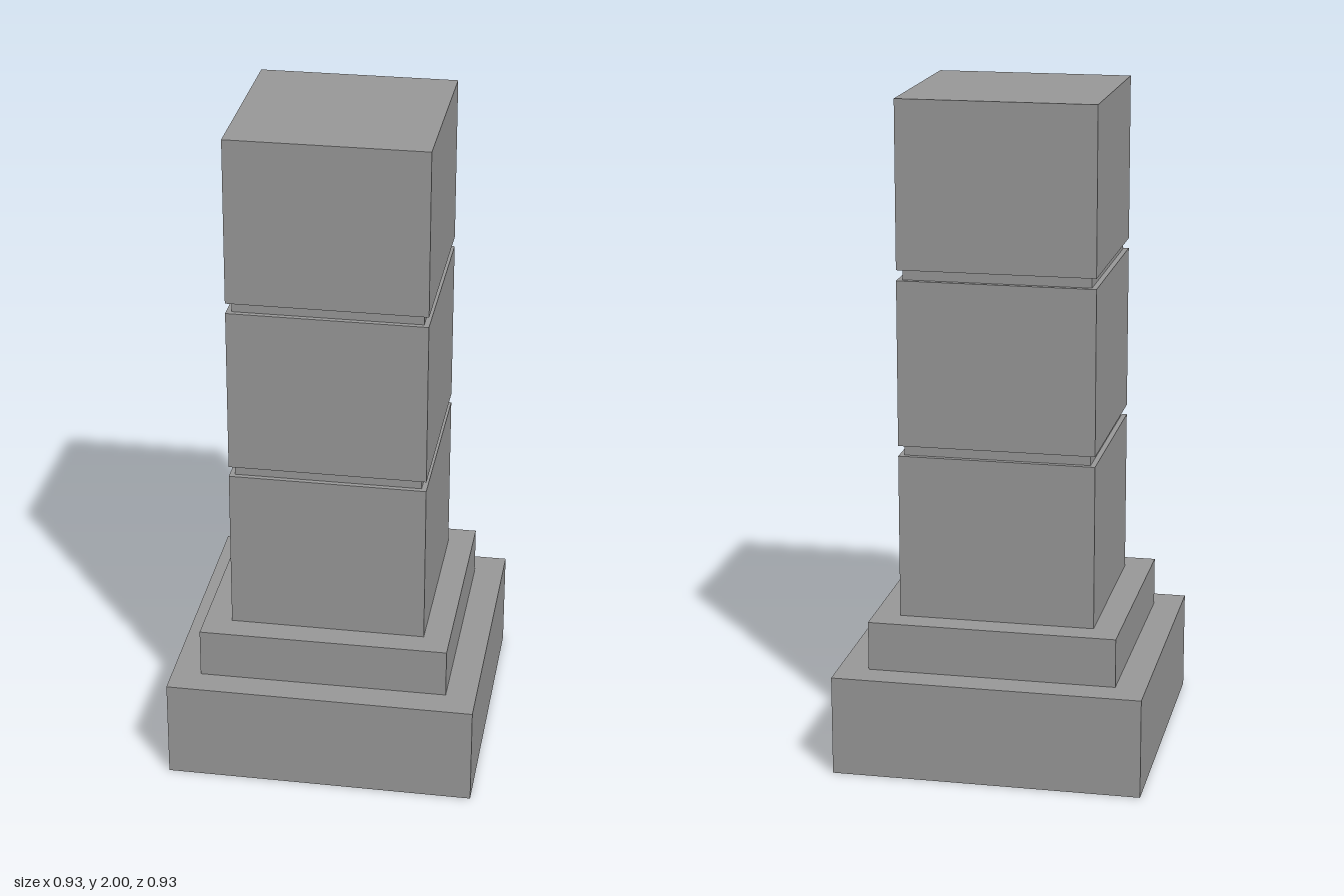
import * as THREE from 'three';

export function createModel() {
  const model = new THREE.Group();
  model.name = 'pillar';
  const material = new THREE.MeshStandardMaterial({ color: 0x9a9a9a, flatShading: true });

  // Square block of a given width between two heights
  const addBlock = (name, width, bottom, top) => {
    const mesh = new THREE.Mesh(new THREE.BoxGeometry(width, top - bottom, width), material);
    mesh.position.y = (bottom + top) / 2;
    mesh.name = name;
    model.add(mesh);
    return mesh;
  };

  // Stepped base
  addBlock('plinth', 0.926, 0, 0.302);
  const step = addBlock('baseStep', 0.744, 0.302, 0.45);

  // The step's front right corner sits slightly further out
  const pos = step.geometry.attributes.position;
  for (let i = 0; i < pos.count; i++) {
    if (pos.getX(i) < 0 && pos.getZ(i) > 0) {
      pos.setX(i, -0.376);
      pos.setZ(i, 0.375);
    }
  }
  step.geometry.computeVertexNormals();

  // Shaft of three equal blocks, parted by recessed joints
  const blockHeight = 0.496, jointHeight = 0.031;
  let y = 0.45;
  for (let i = 0; i < 3; i++) {
    addBlock('shaftBlock' + (i + 1), 0.586, y, y + blockHeight);
    y += blockHeight;
    if (i < 2) {
      addBlock('recessedJoint' + (i + 1), 0.555, y, y + jointHeight);
      y += jointHeight;
    }
  }

  return model;
}
